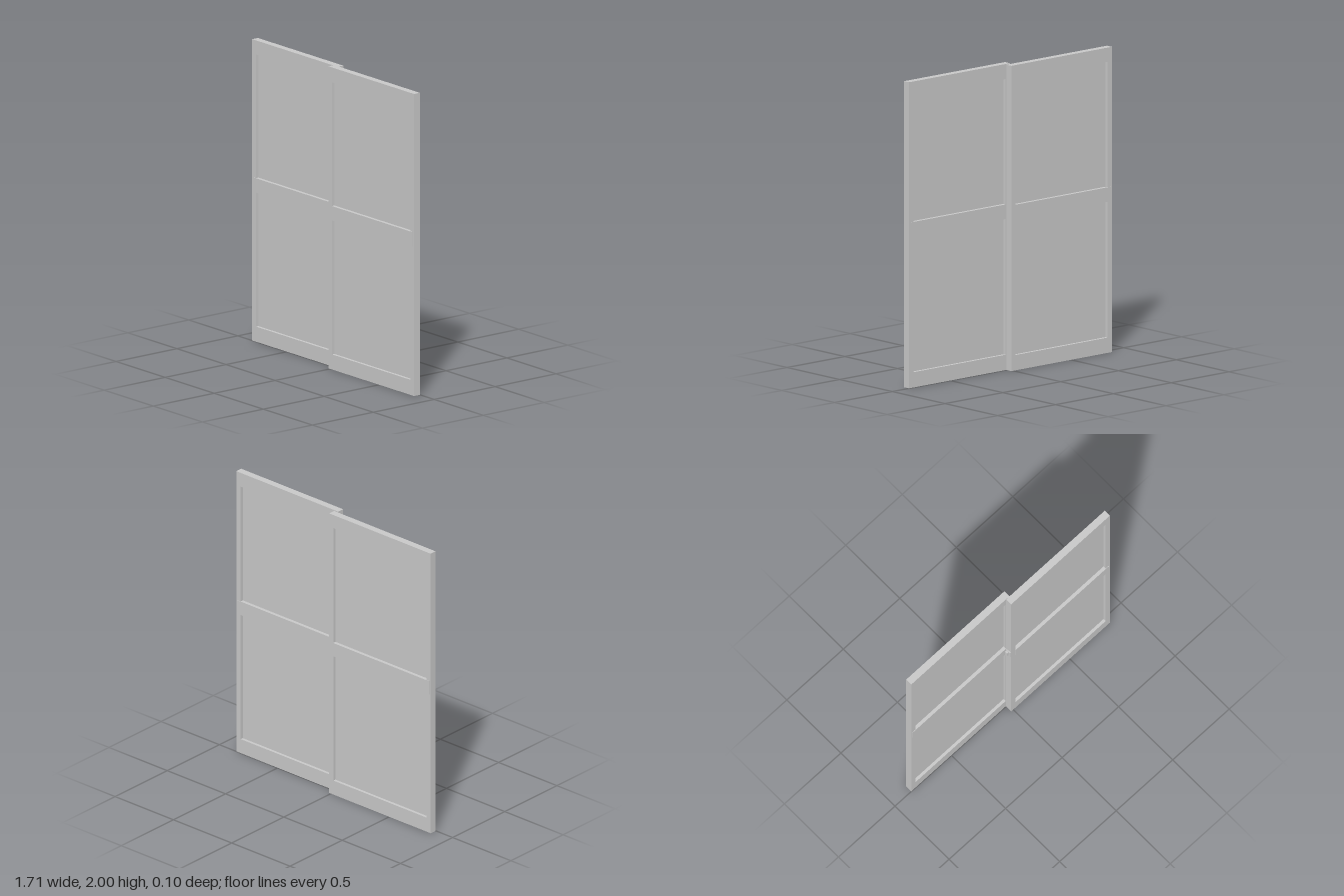
import * as THREE from 'three';

const frameGrey = new THREE.MeshStandardMaterial({ color: 0xc8c8c8 });
frameGrey.name = 'frameGrey';

function box(name, x0, x1, y0, y1, z0, z1) {
  const mesh = new THREE.Mesh(new THREE.BoxGeometry(x1 - x0, y1 - y0, z1 - z0), frameGrey);
  mesh.position.set((x0 + x1) / 2, (y0 + y1) / 2, (z0 + z1) / 2);
  mesh.name = name;
  return mesh;
}

// Rectangular opening, cut into the frame
function opening(x0, x1, y0, y1) {
  return new THREE.Path().moveTo(x0, y0).lineTo(x0, y1).lineTo(x1, y1).lineTo(x1, y0).closePath();
}

// One sliding panel: frame with two openings, recessed panes and a middle rail
function slidingPanel(name, [x0, x1], [in0, in1], [rail0, rail1], [z0, z1], top) {
  const panel = new THREE.Group();
  panel.name = name;
  const outline = new THREE.Shape().moveTo(x0, 0).lineTo(x1, 0).lineTo(x1, top).lineTo(x0, top).closePath();
  const openings = [[0.1, 0.988], [1.083, 1.902]];
  for (const [y0, y1] of openings) outline.holes.push(opening(in0, in1, y0, y1));
  const frame = new THREE.Mesh(
    new THREE.ExtrudeGeometry(outline, { depth: z1 - z0, bevelEnabled: false }), frameGrey);
  frame.position.z = z0;
  frame.name = 'frame';
  panel.add(frame);

  const mid = (z0 + z1) / 2;
  openings.forEach(([y0, y1], i) =>
    panel.add(box(i ? 'upperPane' : 'lowerPane', in0, in1, y0, y1, mid - 0.004, mid + 0.004)));

  // Middle rail, slightly proud of the frame and lapping over the outer stile
  panel.add(box('middleRail', rail0, rail1, 0.988, 1.083, z0 - 0.003, z1 + 0.003));
  return panel;
}

export function createModel() {
  const model = new THREE.Group();
  model.name = 'slidingWindow';
  model.add(slidingPanel('rearPanel', [-0.855, 0.015], [-0.817, -0.02], [-0.843, -0.02], [-0.048, -0.001], 1.995));
  model.add(slidingPanel('frontPanel', [-0.018, 0.855], [0.02, 0.818], [0.02, 0.843], [0.001, 0.048], 2));

  // Latch on the inner edge of the front panel
  const latch = new THREE.Group();
  latch.name = 'latch';
  latch.add(box('latchPlate', -0.024, -0.018, 1.02, 1.09, 0.008, 0.044));
  latch.add(box('latchHook', -0.038, -0.024, 1.03, 1.08, 0.012, 0.03));
  model.add(latch);
  return model;
}
